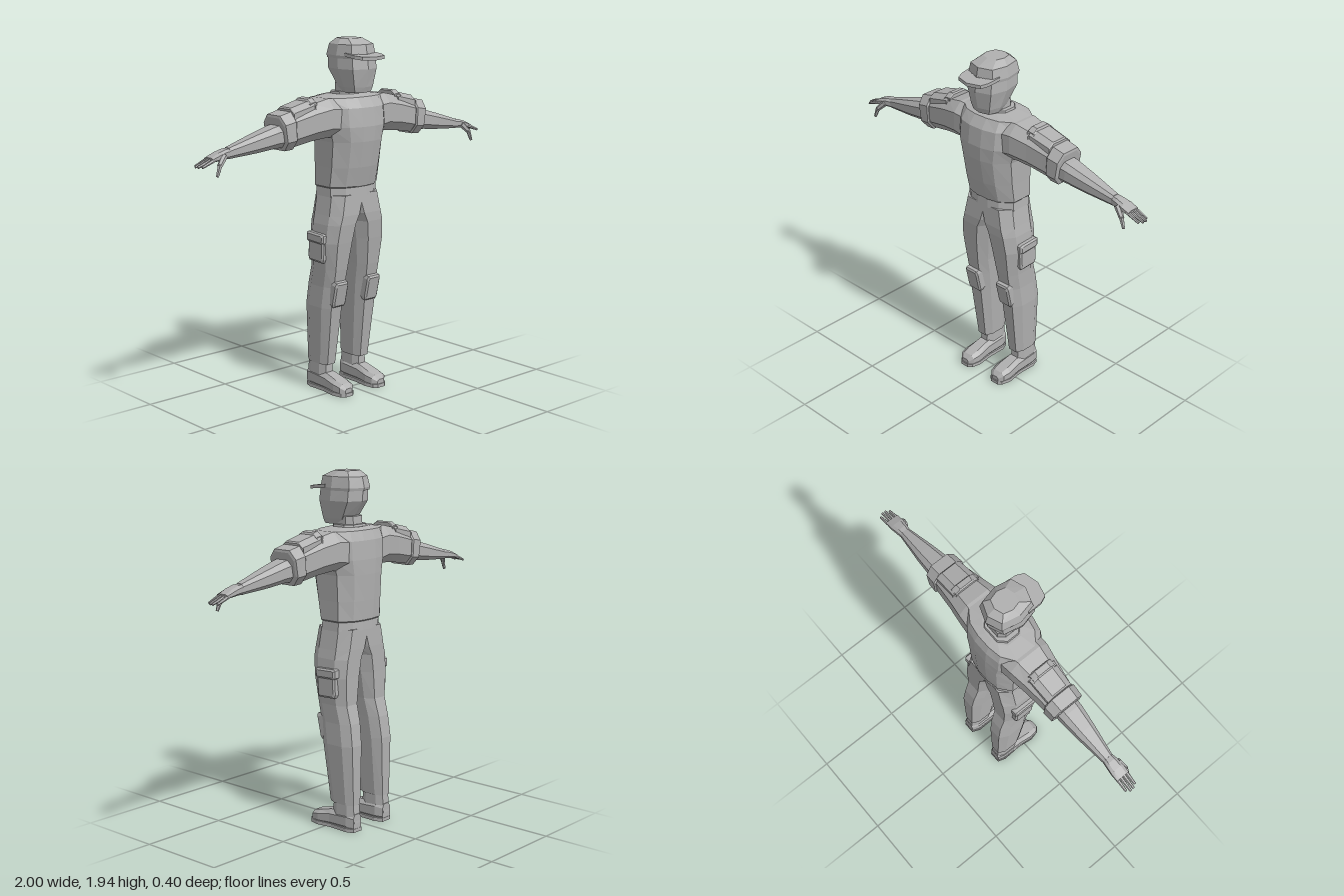
import * as THREE from 'three';

const grey = new THREE.MeshStandardMaterial({ color: 0xb0b0b0, flatShading: true });
grey.name = 'grey';

// unit cross-sections
const OCT = [[1, .5], [.58, 1], [-.58, 1], [-1, .5], [-1, -.5], [-.58, -1], [.58, -1], [1, -.5]];
const BODY = [[1, .45], [.62, .88], [.22, 1], [-.22, 1], [-.62, .88], [-1, .45],
  [-1, -.5], [-.62, -.9], [-.22, -1], [.22, -1], [.62, -.9], [1, -.5]];
const HEAD = [[0, 1], [.8, .78], [1, .05], [.78, -.75], [0, -1], [-.78, -.75], [-1, .05], [-.8, .78]];
const SLAB = [[1, .75], [.85, 1], [-.85, 1], [-1, .75], [-1, -.75], [-.85, -1], [.85, -1], [1, -.75]];

// fit a section between two limits on each axis
const fit = (sec, a0, a1, b0, b1) =>
  sec.map(([a, b]) => [(a0 + a1) / 2 + a * (a1 - a0) / 2, (b0 + b1) / 2 + b * (b1 - b0) / 2]);
const ringY = (sec, y, x0, x1, z1, z0) => fit(sec, x0, x1, z0, z1).map(([x, z]) => [x, y, z]);
const ringX = (sec, x, y1, y0, z1, z0, lean = 0) =>
  fit(sec, z0, z1, y0, y1).map(([z, y]) => [x + lean * (y - y1), y, z]);
const ringZ = (sec, z, x0, x1, y1, y0) => fit(sec, x0, x1, y0, y1).map(([x, y]) => [x, y, z]);

// skin a list of equal-length rings, capped at both ends and facing outward
function loft(rings) {
  const n = rings[0].length, pts = rings.flat(), tri = [];
  for (let r = 0; r < rings.length - 1; r++) for (let i = 0; i < n; i++) {
    const a = r * n + i, b = r * n + (i + 1) % n;
    tri.push([a, b, b + n], [a, b + n, a + n]);
  }
  const e = (rings.length - 1) * n;
  for (let i = 1; i < n - 1; i++) tri.push([0, i + 1, i], [e, e + i, e + i + 1]);
  const v = pts.map(p => new THREE.Vector3(...p));
  const o = v[0];
  let vol = 0;
  for (const [a, b, c] of tri)
    vol += v[a].clone().sub(o).dot(v[b].clone().sub(o).cross(v[c].clone().sub(o)));
  const idx = tri.flatMap(([a, b, c]) => (vol > 0 ? [a, b, c] : [a, c, b]));
  const g = new THREE.BufferGeometry();
  g.setAttribute('position', new THREE.Float32BufferAttribute(pts.flat(), 3));
  g.setIndex(idx);
  const flat = g.toNonIndexed();
  flat.computeVertexNormals();
  return flat;
}

// reflect a geometry in x and keep it facing outward
function mirror(g) {
  const m = (g.index ? g.toNonIndexed() : g.clone()).scale(-1, 1, 1);
  const p = m.attributes.position, q = new THREE.Vector3(), s = new THREE.Vector3();
  for (let i = 0; i < p.count; i += 3) {
    q.fromBufferAttribute(p, i + 1); s.fromBufferAttribute(p, i + 2);
    p.setXYZ(i + 1, s.x, s.y, s.z); p.setXYZ(i + 2, q.x, q.y, q.z);
  }
  m.computeVertexNormals();
  return m;
}

// tapered rod between two points
function rod(a, b, r0, r1) {
  const A = new THREE.Vector3(...a), B = new THREE.Vector3(...b), d = B.clone().sub(A);
  const g = new THREE.CylinderGeometry(r1, r0, d.length(), 6);
  g.applyQuaternion(new THREE.Quaternion().setFromUnitVectors(new THREE.Vector3(0, 1, 0), d.normalize()));
  return g.translate(...A.add(B).multiplyScalar(.5).toArray());
}

// plate with a bevelled outer face (+z), placed by a tilt and a position
function pad(w, h, d, tilt, pos) {
  const ring = (z, s) => ringZ(SLAB, z, -w / 2 + s, w / 2 - s, h / 2 - s, -h / 2 + s);
  return loft([ring(-d, 0), ring(0, 0), ring(.008, .01)])
    .applyMatrix4(new THREE.Matrix4().makeRotationFromEuler(new THREE.Euler(...tilt)))
    .translate(...pos);
}

export function createModel() {
  const model = new THREE.Group();
  const add = (name, geo) => {
    const m = new THREE.Mesh(geo, grey);
    m.name = name;
    model.add(m);
  };
  const pair = (name, geo) => {
    add('left' + name, geo);
    add('right' + name, mirror(geo));
  };
  const sym = sec => ([y, w, f, b]) => ringY(sec, y, -w, w, f, b);

  // head, cap and brim
  add('head', loft([[1.655, .07, .112, -.03], [1.685, .082, .122, -.055],
    [1.78, .106, .14, -.12], [1.86, .102, .13, -.122]].map(sym(HEAD))));
  add('cap', loft([[1.835, .105, .128, -.128], [1.85, .108, .13, -.132],
    [1.908, .096, .12, -.118], [1.938, .062, .05, -.075]].map(sym(HEAD))));
  const brim = new THREE.Shape([[-.1, .06], [.1, .06], [.095, .14], [.078, .18], [0, .2],
    [-.078, .18], [-.095, .14]].map(p => new THREE.Vector2(...p)));
  add('brim', new THREE.ExtrudeGeometry(brim, { depth: .018, bevelEnabled: false })
    .rotateX(Math.PI / 2).translate(0, 1.873, 0)
    .applyMatrix4(new THREE.Matrix4().makeShear(0, 0, 0, 0, 0, -.12)));

  // neck and collar
  add('neck', loft([[1.6, .062, .035, -.09], [1.7, .062, .035, -.085]].map(sym(OCT))));
  add('collar', loft([[1.625, .092, .052, -.11], [1.657, .085, .042, -.1]].map(sym(OCT))));

  // shirt and waistband
  add('shirt', loft([[1.148, .163, .086, -.155], [1.155, .17, .094, -.163], [1.26, .171, .12, -.17],
    [1.4, .176, .145, -.176], [1.48, .198, .15, -.176], [1.58, .2, .138, -.17],
    [1.632, .19, .1, -.15], [1.645, .1, .055, -.115]].map(sym(BODY))));
  add('waistband', loft([[1.1, .166, .09, -.157], [1.155, .162, .087, -.154]].map(sym(BODY))));

  // sleeves with cuffs and shoulder pads
  pair('Sleeve', loft([[.1, 1.628, 1.41, .1, -.15], [.2, 1.634, 1.43, .098, -.142],
    [.3, 1.612, 1.42, .08, -.125], [.4, 1.585, 1.402, .066, -.112],
    [.47, 1.565, 1.395, .058, -.106, .15]].map(r => ringX(OCT, ...r))));
  pair('Cuff', loft([[.432, 1.577, 1.398, .066, -.112, .05], [.44, 1.584, 1.388, .072, -.118, .06],
    [.51, 1.568, 1.384, .068, -.114, .16], [.512, 1.555, 1.4, .056, -.1, .16]].map(r => ringX(OCT, ...r))));
  pair('ShoulderPad', loft([[.295, 1.627, 1.53, .062, -.107], [.3, 1.633, 1.53, .058, -.103],
    [.43, 1.602, 1.5, .052, -.098], [.436, 1.594, 1.5, .056, -.102]].map(r => ringX(OCT, ...r))));
  pair('ShoulderFlap', loft([[.28, 1.636, 1.56, .05, -.095], [.287, 1.643, 1.56, .046, -.09],
    [.318, 1.638, 1.56, .046, -.09], [.324, 1.628, 1.56, .05, -.095]].map(r => ringX(OCT, ...r))));

  // forearms and hands
  pair('Forearm', loft([[.46, 1.525, 1.402, .045, -.085], [.53, 1.512, 1.402, .044, -.082],
    [.64, 1.482, 1.39, .032, -.072], [.81, 1.432, 1.377, .008, -.05]].map(r => ringX(OCT, ...r))));
  pair('Palm', loft([[.795, 1.43, 1.378, .006, -.048], [.835, 1.427, 1.378, .014, -.054],
    [.88, 1.414, 1.374, .019, -.059], [.925, 1.394, 1.37, .018, -.058]].map(r => ringX(OCT, ...r))));
  const reach = [.985, .998, 1, .985];
  reach.forEach((x, i) => {
    const z = .009 - i * .0195;
    pair('Finger' + (i + 1), rod([.905, 1.386, z], [x, 1.354, z], .0105, .007));
  });
  pair('ThumbBase', rod([.85, 1.398, .01], [.895, 1.352, .029], .018, .013));
  pair('Thumb', rod([.89, 1.36, .028], [.912, 1.302, .032], .013, .008));

  // trouser legs
  pair('Leg', loft([[1.11, -.06, .161, .086, -.152], [1.0, -.025, .18, .092, -.153],
    [.95, .004, .19, .09, -.152], [.85, .022, .199, .078, -.15], [.7, .043, .186, .055, -.148],
    [.6, .05, .183, .036, -.174], [.48, .057, .186, .02, -.19],
    [.15, .075, .168, -.025, -.19]].map(r => ringY(OCT, ...r))));

  // knee pads and thigh pockets
  pair('KneePad', pad(.094, .145, .04, [.22, 0, 0], [.117, .56, .046]));
  pair('ThighPocket', pad(.125, .155, .04, [0, Math.PI / 2, .04], [.207, .82, -.047]));
  pair('PocketFlap', pad(.138, .055, .04, [0, Math.PI / 2, .04], [.214, .875, -.047]));

  // boots
  pair('BootShaft', loft([[.05, .078, .166, -.04, -.195], [.17, .082, .162, -.045, -.185]]
    .map(r => ringY(OCT, ...r))));
  pair('Boot', loft([[-.194, .09, .155, .1], [-.15, .072, .168, .11], [-.03, .072, .168, .1],
    [.05, .064, .175, .08], [.095, .072, .168, .068], [.118, .095, .145, .045]]
    .map(([z, a, b, t]) => ringZ(OCT, z, a, b, t, .005))));
  const sole = new THREE.Shape([[.09, -.196], [.155, -.196], [.17, -.15], [.165, -.04], [.178, .05],
    [.165, .105], [.145, .123], [.095, .123], [.073, .105], [.062, .05], [.072, -.04], [.07, -.15]]
    .map(([x, z]) => new THREE.Vector2(x, -z)));
  pair('Sole', new THREE.ExtrudeGeometry(sole, { depth: .02, bevelEnabled: false }).rotateX(-Math.PI / 2));

  return model;
}
